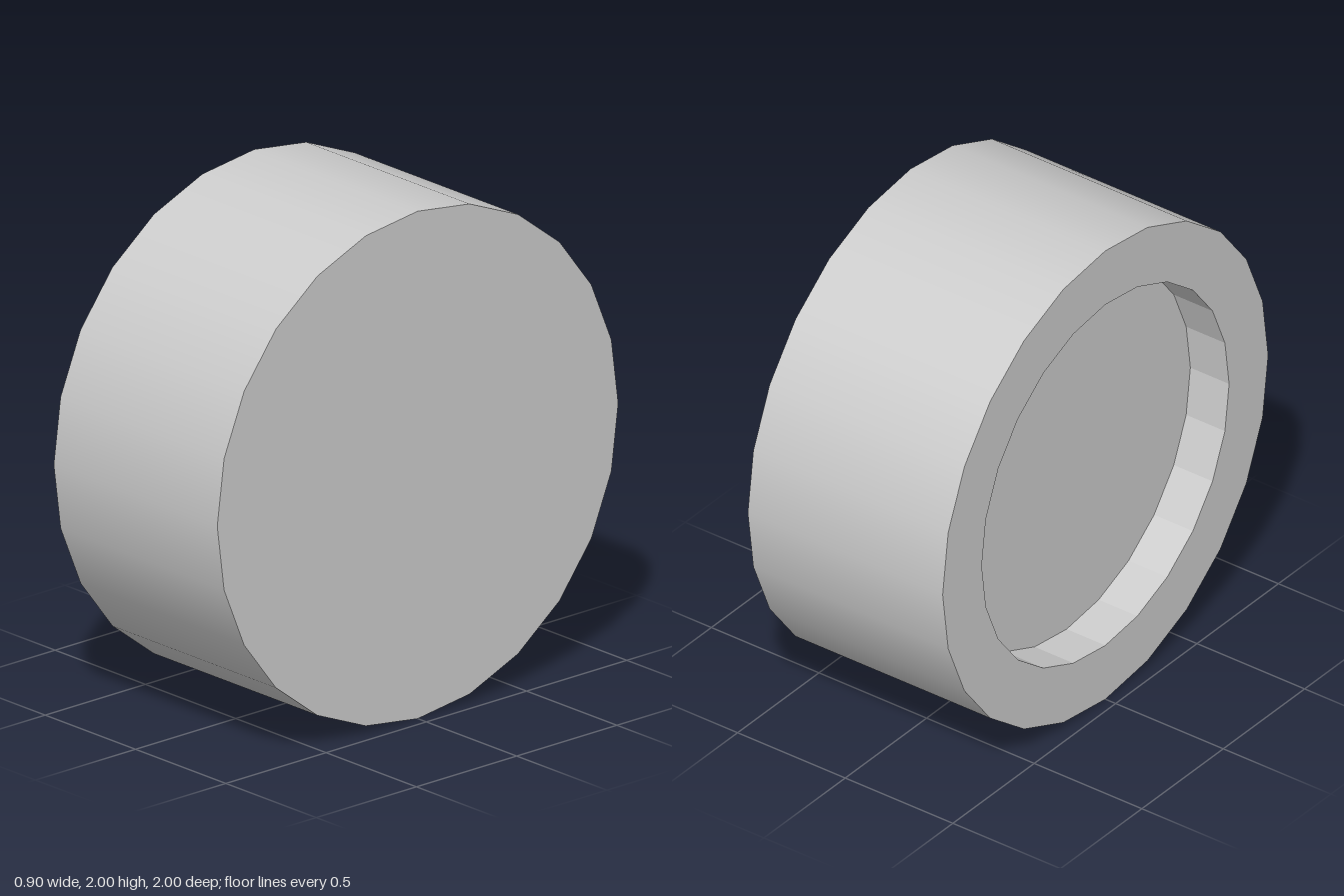
import * as THREE from 'three';

const SIDES = 24;
const R = 1;            // outer radius
const RECESS_R = 0.76;  // radius of the recess
const HALF = 0.4525;    // half the width along x
const DEPTH = 0.18;     // depth of the recess

export function createModel() {
  const group = new THREE.Group();
  const smooth = new THREE.MeshStandardMaterial({ color: 0xcccccc });
  const flat = new THREE.MeshStandardMaterial({ color: 0xcccccc, flatShading: true });

  const add = (name, geometry, material, x) => {
    const mesh = new THREE.Mesh(geometry, material);
    mesh.name = name;
    mesh.position.set(x, R, 0);
    group.add(mesh);
  };

  // Open tube lying along x
  const tube = (radius, width) =>
    new THREE.CylinderGeometry(radius, radius, width, SIDES, 1, true).rotateZ(Math.PI / 2);

  // Smooth outer tread
  add('outerWall', tube(R, HALF * 2), smooth, 0);

  // Closed face on the left (+x)
  add('closedFace', new THREE.CircleGeometry(R, SIDES).rotateY(Math.PI / 2), flat, HALF);

  // Rim around the recess on the right (-x)
  add('rim', new THREE.RingGeometry(RECESS_R, R, SIDES).rotateY(-Math.PI / 2), flat, -HALF);

  // Faceted recess wall, mirrored so that it faces the axis
  const wall = tube(RECESS_R, DEPTH).scale(1, 1, -1).toNonIndexed();
  wall.computeVertexNormals();
  add('recessWall', wall, flat, -HALF + DEPTH / 2);

  // Recess floor
  add('recessFloor', new THREE.CircleGeometry(RECESS_R, SIDES).rotateY(-Math.PI / 2), flat, -HALF + DEPTH);

  return group;
}
